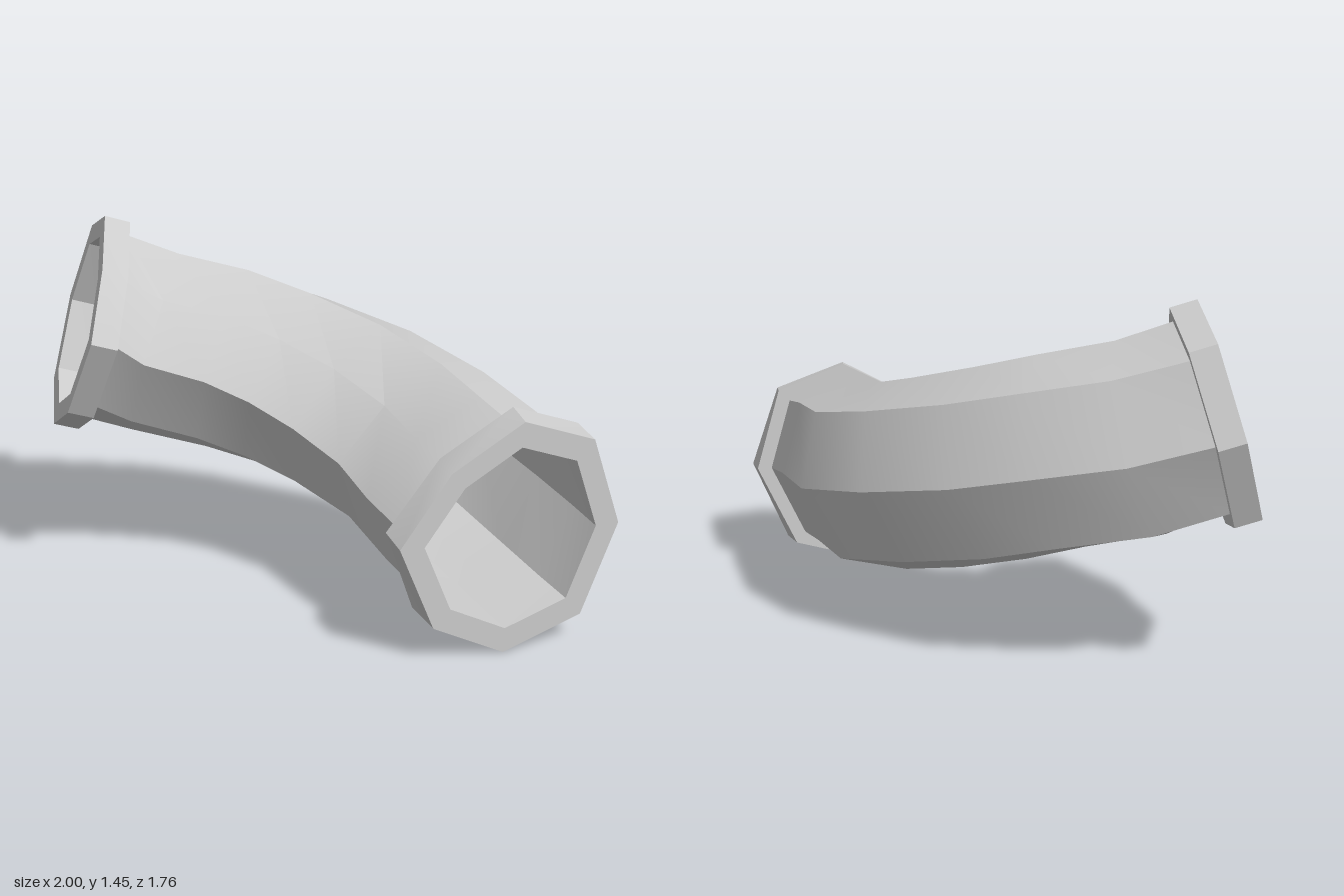
import * as THREE from 'three';
import { toCreasedNormals } from 'three/addons/utils/BufferGeometryUtils.js';

// slightly uneven octagon, in (outward, up) units of the radius
const OCTAGON = [[1, 0], [0.73, 0.77], [0.08, 1], [-0.56, 0.64], [-1, 0.05], [-0.69, -0.69], [-0.04, -1.02], [0.68, -0.79]];

// a station is a centre plus its outward and up directions
const station = (centre, out, up) => ({
  c: new THREE.Vector3(...centre),
  u: new THREE.Vector3(out[0], 0, out[1]).normalize(),
  v: new THREE.Vector3(...up).normalize(),
});

const ring = (s, r) => OCTAGON.map(([a, b]) =>
  s.c.clone().addScaledVector(s.u, a * r).addScaledVector(s.v, b * r));

// skin over consecutive rings; long ridges stay sharp, the bend stays smooth
function loft(rings) {
  const n = OCTAGON.length;
  const index = [];
  for (let i = 0; i < rings.length - 1; i++) {
    for (let k = 0; k < n; k++) {
      const a = i * n + k, b = i * n + (k + 1) % n;
      index.push(a, b, b + n, a, b + n, a + n);
    }
  }
  const geometry = new THREE.BufferGeometry().setFromPoints(rings.flat());
  geometry.setIndex(index);
  return toCreasedNormals(geometry, 0.53);
}

export function createModel() {
  const group = new THREE.Group();
  group.name = 'bentPipe';
  const material = new THREE.MeshStandardMaterial({ color: 0xcccccc });
  const add = (name, rings) => {
    const mesh = new THREE.Mesh(loft(rings), material);
    mesh.name = name;
    group.add(mesh);
  };

  const PIPE = 0.383, BORE = 0.35;

  // stations along the bend, from the raised end to the lower front end
  const path = [
    station([-0.775, 1.0, -0.447], [0, -1], [0.284, 0.96, 0]),
    station([-0.57, 0.92, -0.44], [0.098, -0.37], [0.1, 0.37, 0.03]),
    station([-0.285, 0.85, -0.37], [0.155, -0.35], [0.083, 0.37, 0.03]),
    station([-0.06, 0.775, -0.275], [0.213, -0.315], [0.083, 0.365, 0.06]),
    station([0.18, 0.685, -0.105], [0.3, -0.24], [0.076, 0.365, 0.084]),
    station([0.375, 0.59, 0.145], [0.35, -0.155], [0.047, 0.365, 0.097]),
    station([0.46, 0.525, 0.46], [0.375, -0.065], [0.03, 0.37, 0.05]),
    station([0.525, 0.48, 0.675], [0.376, -0.073], [0.02, 0.38, 0.02]),
  ];
  const upperFace = station([-0.875, 1.03, -0.447], [0, -1], [0.284, 0.96, 0]);
  const frontFace = station([0.555, 0.455, 0.81], [0.435, -0.0625], [0, 1, 0]);
  const upperBack = path[0], frontBack = path[path.length - 1];

  // outer wall
  add('pipeWall', path.map((s) => ring(s, PIPE)));

  // inner wall, lofted backwards so it faces the axis
  add('pipeBore', [upperFace, ...path, frontFace].reverse().map((s) => ring(s, BORE)));

  // end collars
  add('upperCollar', [ring(upperFace, BORE), ring(upperFace, 0.437), ring(upperBack, 0.437), ring(upperBack, BORE)]);
  add('frontCollar', [ring(frontBack, BORE), ring(frontBack, 0.443), ring(frontFace, 0.446), ring(frontFace, BORE)]);

  return group;
}
